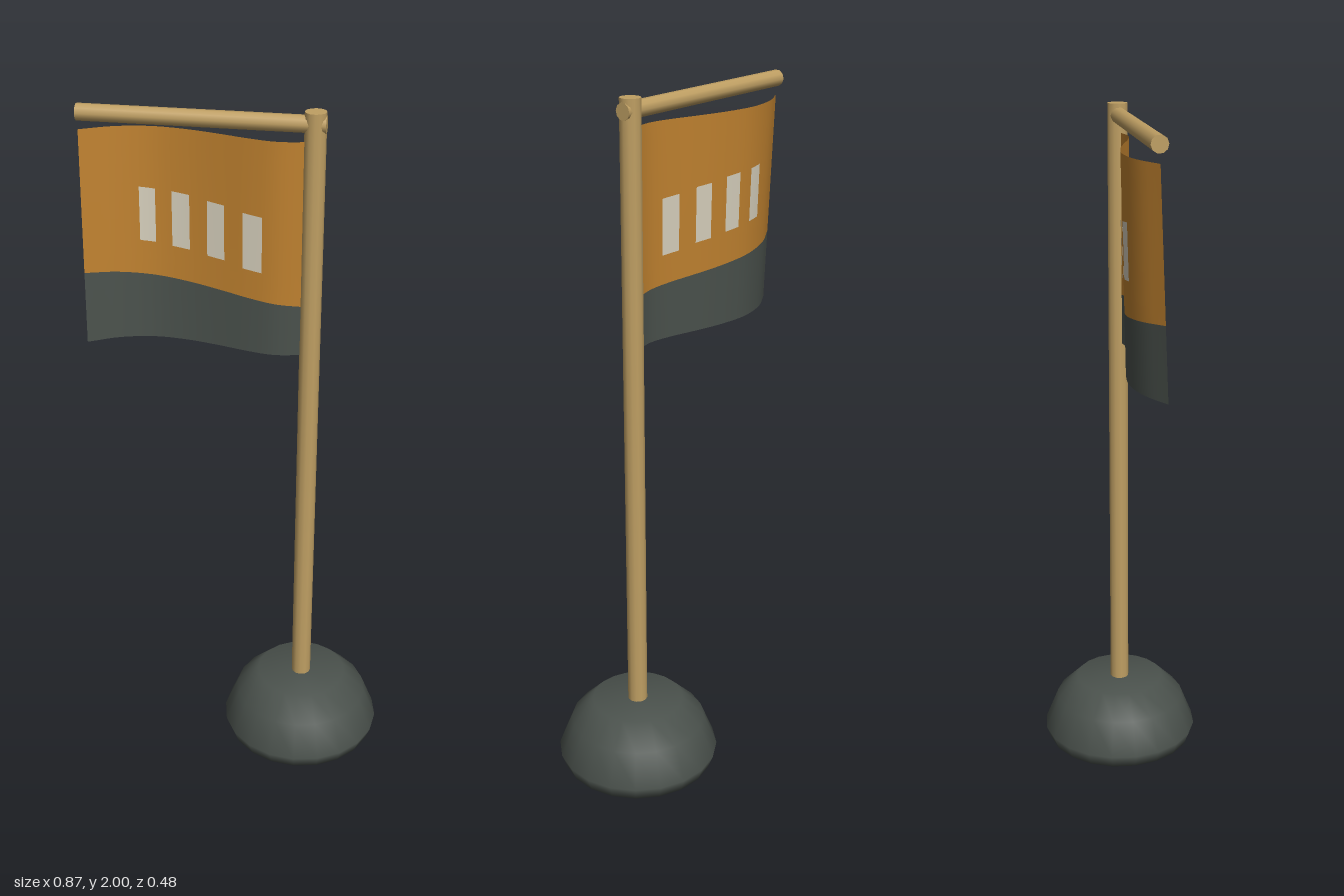
import * as THREE from 'three';

const POLE_X = 0.195;

function flat(name, color, side = THREE.FrontSide) {
  const m = new THREE.MeshStandardMaterial({ color, side });
  m.name = name;
  return m;
}

// Cloth ripple seen from above, from the pole to the free edge
const ripple = new THREE.CatmullRomCurve3([
  [0.195, 0], [0.1, 0.01], [0.02, -0.01], [-0.05, -0.036], [-0.15, -0.068],
  [-0.25, -0.084], [-0.35, -0.07], [-0.435, -0.032],
].map(([x, z]) => new THREE.Vector3(x, 0, z)));
const RIPPLE = ripple.getSpacedPoints(80);

function clothZ(x, y) {
  let i = 0;
  while (i < 79 && RIPPLE[i + 1].x > x) i++;
  const a = RIPPLE[i], b = RIPPLE[i + 1];
  const z = a.z + (b.z - a.z) * (a.x - x) / (a.x - b.x);
  const reach = (POLE_X - x) / 0.63;
  return z + 0.025 * reach * (1.92 - y) / 0.61; // the lower hem swings forward
}

// Sheet between two height lines, laid on the rippling cloth
function clothPatch(name, material, x0, x1, bottom, top, lift = 0, nx = 28, ny = 8) {
  const g = new THREE.PlaneGeometry(1, 1, nx, ny);
  const p = g.attributes.position;
  for (let i = 0; i < p.count; i++) {
    const x = x0 + (x1 - x0) * (p.getX(i) + 0.5);
    const y = THREE.MathUtils.lerp(bottom(x), top(x), p.getY(i) + 0.5);
    p.setXYZ(i, x, y, clothZ(x, y) + lift);
  }
  g.computeVertexNormals();
  const mesh = new THREE.Mesh(g, material);
  mesh.name = name;
  return mesh;
}

export function createModel() {
  const wood = flat('wood', 0xbf9f63);
  const stone = flat('dark grey stone', 0x4a514c);
  const orange = flat('orange cloth', 0xbf812f, THREE.DoubleSide);
  const grey = flat('dark grey cloth', 0x4a514c, THREE.DoubleSide);
  const white = flat('off white cloth', 0xd6cfbc, THREE.DoubleSide);

  const model = new THREE.Group();
  model.name = 'flagOnStand';

  // Rounded foot
  const profile = [[0, 0], [0.225, 0], [0.24, 0.04], [0.2, 0.14], [0.135, 0.205], [0, 0.205]]
    .map(([r, y]) => new THREE.Vector2(r, y));
  const base = new THREE.Mesh(new THREE.LatheGeometry(profile, 20), stone);
  base.name = 'base';
  base.position.x = POLE_X;

  // Upright pole
  const pole = new THREE.Mesh(new THREE.CylinderGeometry(0.029, 0.029, 1.85, 12), wood);
  pole.name = 'pole';
  pole.position.set(POLE_X, 1.075, 0);

  // Crossbar, swung slightly backwards, its inner end just through the pole
  const from = new THREE.Vector3(0.224, 1.967, 0.002), to = new THREE.Vector3(-0.436, 1.967, -0.034);
  const along = to.clone().sub(from);
  const bar = new THREE.Mesh(new THREE.CylinderGeometry(0.023, 0.023, along.length(), 10), wood);
  bar.name = 'crossbar';
  bar.position.copy(from).add(to).multiplyScalar(0.5);
  bar.quaternion.setFromUnitVectors(new THREE.Vector3(0, 1, 0), along.normalize());

  // Flag with a slanting lower band
  const flag = new THREE.Group();
  flag.name = 'flag';
  const seam = (x) => 1.458 + (0.17 - x) * 0.1;
  flag.add(
    clothPatch('upperCloth', orange, -0.435, POLE_X, seam, () => 1.92),
    clothPatch('lowerBand', grey, -0.435, POLE_X, () => 1.312, seam),
  );

  // Four pale marks on both faces
  [[-0.285, -0.241, 1.6, 1.752], [-0.195, -0.145, 1.588, 1.744],
    [-0.095, -0.046, 1.574, 1.73], [0.006, 0.06, 1.556, 1.714]].forEach(([x0, x1, lo, hi]) => {
    const tilt = (y) => (x) => y - 0.1 * (x - (x0 + x1) / 2);
    for (const lift of [0.004, -0.004]) {
      flag.add(clothPatch('paleMark', white, x0, x1, tilt(lo), tilt(hi), lift, 4, 2));
    }
  });

  model.add(base, pole, bar, flag);
  return model;
}
